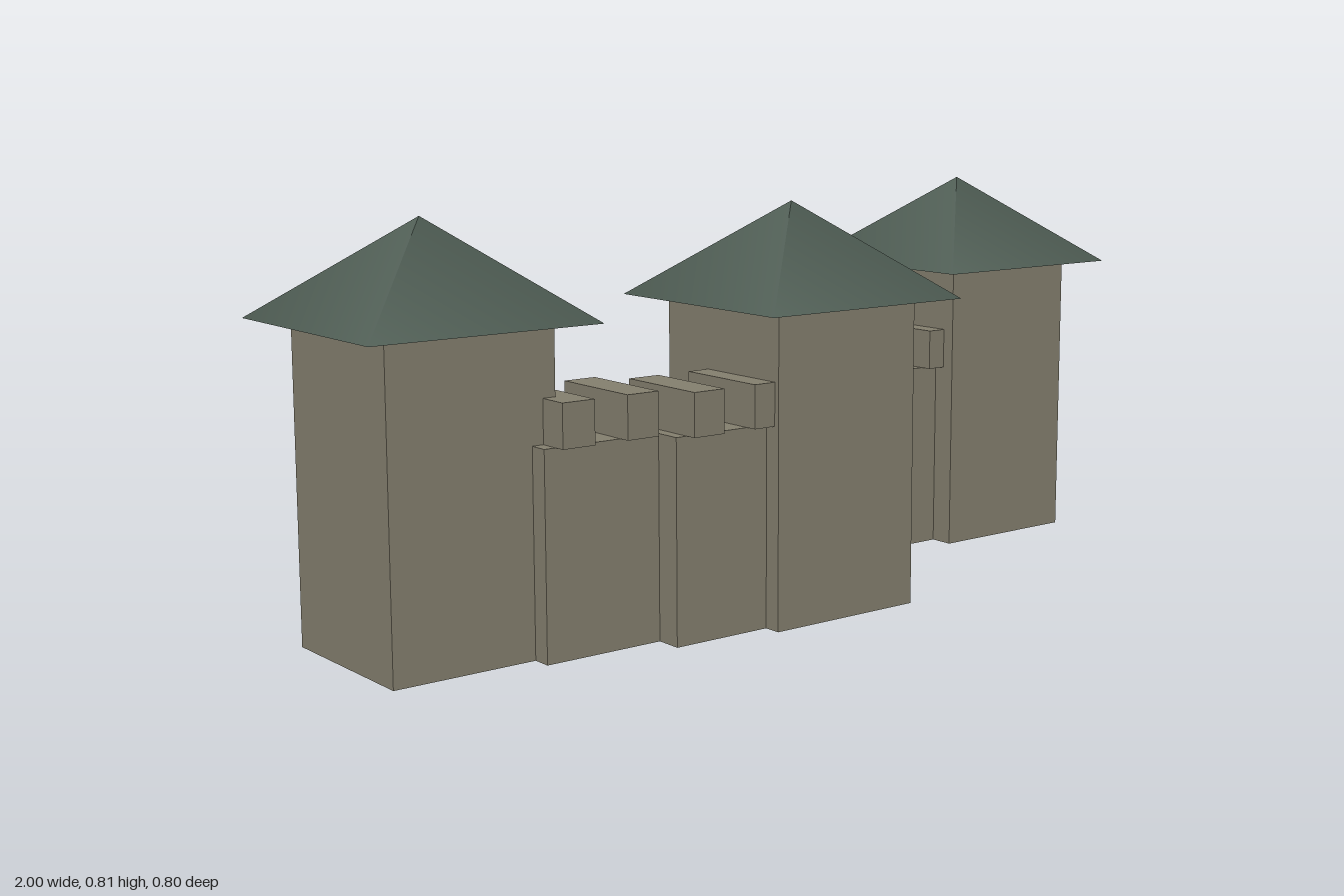
import * as THREE from 'three';

const stone = new THREE.MeshStandardMaterial({ color: 0x85806f });
const slate = new THREE.MeshStandardMaterial({ color: 0x4e5c53 });

// Box standing on height y
function block(name, w, h, d, x, y, z) {
  const mesh = new THREE.Mesh(new THREE.BoxGeometry(w, h, d), stone);
  mesh.name = name;
  mesh.position.set(x, y + h / 2, z);
  return mesh;
}

// Square tower with an overhanging pyramid roof
function makeTower(name, x, z) {
  const tower = new THREE.Group();
  tower.name = name;
  tower.position.set(x, 0, z);
  tower.add(block('towerBody', 0.346, 0.62, 0.346, 0, 0, 0));

  const h = 0.19;
  const cone = new THREE.ConeGeometry(0.238 * Math.SQRT2, h, 4).rotateY(Math.PI / 4);
  const roof = new THREE.Mesh(cone, slate);
  roof.name = 'towerRoof';
  roof.position.y = 0.62 + h / 2;
  tower.add(roof);
  return tower;
}

// Wall section carrying two merlons
function makeWall(name, x, z) {
  const wall = new THREE.Group();
  wall.name = name;
  wall.position.set(x, 0, z);
  wall.add(block('wallBody', 0.26, 0.4, 0.158, 0, 0, 0));
  for (const side of [-1, 1]) {
    wall.add(block('merlon', 0.07, 0.085, 0.207, side * 0.071, 0.4, 0));
  }
  return wall;
}

export function createModel() {
  const model = new THREE.Group();
  model.name = 'castleWall';

  // Staggered towers
  model.add(makeTower('rightTower', -0.762, 0.03));
  model.add(makeTower('middleTower', 0, 0.16));
  model.add(makeTower('leftTower', 0.762, -0.16));

  // Stepped wall sections between the towers
  model.add(makeWall('rightOuterWall', -0.51, 0.163));
  model.add(makeWall('rightInnerWall', -0.257, 0.218));
  model.add(makeWall('leftInnerWall', 0.254, 0.018));
  model.add(makeWall('leftOuterWall', 0.51, -0.118));

  return model;
}
